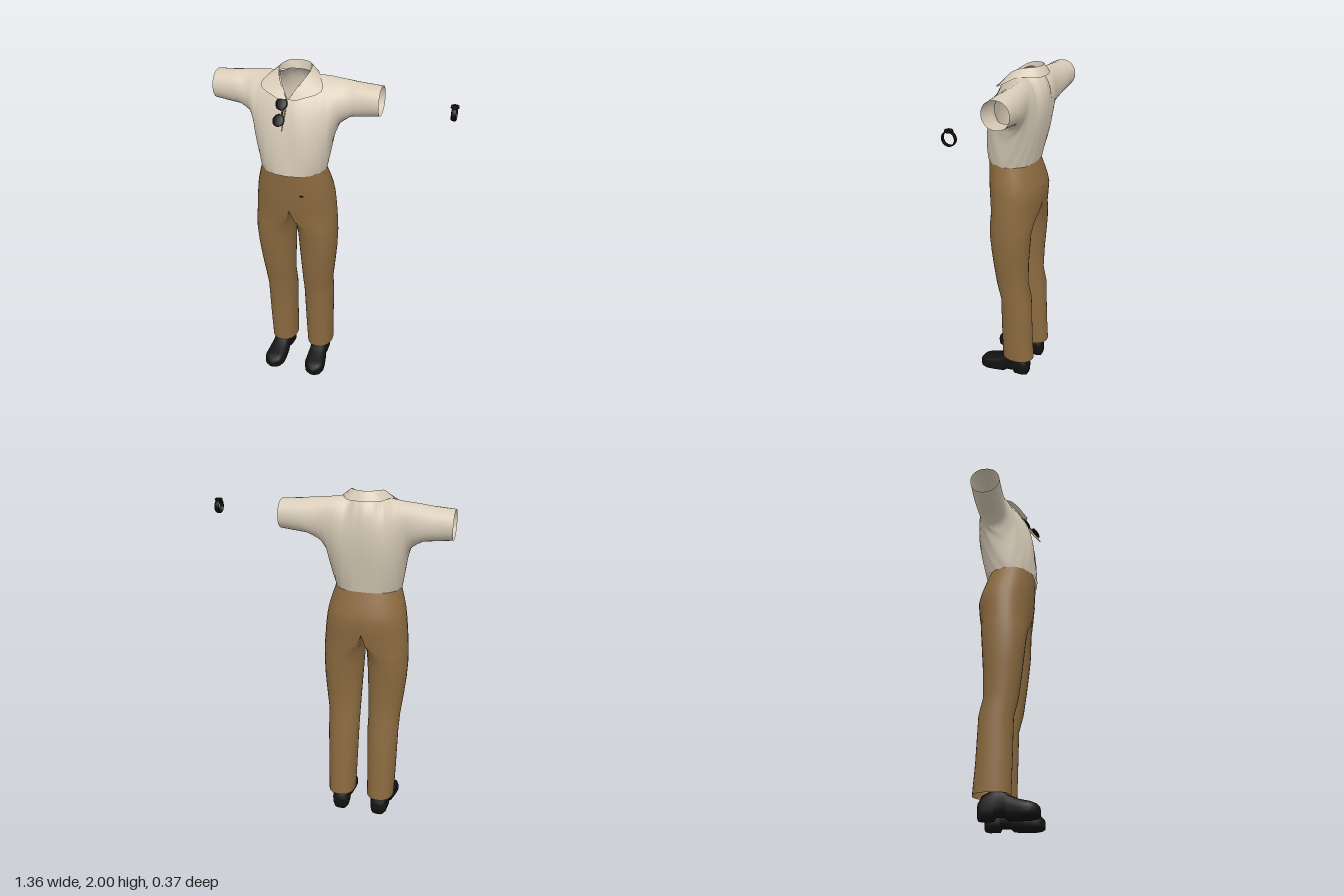
import * as THREE from 'three';
import { mergeVertices } from 'three/addons/utils/BufferGeometryUtils.js';

const mat = (name, color, side = THREE.FrontSide) => {
  const m = new THREE.MeshStandardMaterial({ color, side });
  m.name = name;
  return m;
};
const V = (x, y, z) => new THREE.Vector3(x, y, z);

// Adds a grid of points as triangles, leaving out faces on the middle plane
function addGrid(out, rows, flip, mirror) {
  const sx = mirror ? -1 : 1;
  const turn = flip !== mirror;
  for (let i = 0; i < rows.length - 1; i++) {
    for (let j = 0; j < rows[i].length - 1; j++) {
      const q = [rows[i][j], rows[i][j + 1], rows[i + 1][j + 1], rows[i + 1][j]];
      if (q.every((p) => Math.abs(p.x) < 1e-4)) continue;
      const order = turn ? [0, 2, 1, 0, 3, 2] : [0, 1, 2, 0, 2, 3];
      for (const k of order) out.push(q[k].x * sx, q[k].y, q[k].z);
    }
  }
}

// Smooth geometry from grids of the left half, mirrored to the right
function mirrored(grids) {
  const out = [];
  for (const [rows, flip] of grids) for (const m of [false, true]) addGrid(out, rows, flip, m);
  const g = new THREE.BufferGeometry();
  g.setAttribute('position', new THREE.Float32BufferAttribute(out, 3));
  const merged = mergeVertices(g, 1e-4);
  merged.computeVertexNormals();
  return merged;
}

// Shirt panel: every column is a Bezier from the neck or shoulder to the hem or underarm
function panel(cols) {
  const pts = [0, 1, 2, 3].map((k) => cols.map((c) => V(...c.slice(k * 3, k * 3 + 3))));
  const mids = [1, 2].map((k) => new THREE.CatmullRomCurve3(pts[k]));
  const rows = [];
  const n = cols.length - 1, sub = 4;
  for (let s = 0; s <= n * sub; s++) {
    const i = Math.min(Math.floor(s / sub), n - 1), f = s / sub - i;
    const edge = (k) => pts[k][i].clone().lerp(pts[k][i + 1], f);
    const u = s / (n * sub);
    const curve = new THREE.CubicBezierCurve3(edge(0), mids[0].getPoint(u), mids[1].getPoint(u), edge(3));
    rows.push(curve.getPoints(18));
  }
  return rows;
}

// Rounded ring coordinate; p below 1 makes it boxier
const pow = (v, p) => Math.sign(v) * Math.pow(Math.abs(v), p);
const ring = (n, p, fn) => Array.from({ length: n + 1 }, (_, j) => {
  const a = ((j % n) / n) * Math.PI * 2;
  const c = Math.cos(a), s = Math.sin(a);
  return fn(pow(Math.abs(c) < 1e-9 ? 0 : c, p), pow(Math.abs(s) < 1e-9 ? 0 : s, p));
});

export function createModel() {
  const cloth = mat('shirt cream', 0xd8ccb8, THREE.DoubleSide);
  const brown = mat('trouser brown', 0x8b6a40, THREE.DoubleSide);
  const black = mat('shoe black', 0x121212);
  const dark = mat('accessory black', 0x0a0a0a, THREE.DoubleSide);
  const gold = mat('gold', 0xb89a5a);

  const model = new THREE.Group();
  model.name = 'outfit';
  const clothes = new THREE.Group();
  clothes.name = 'clothes';
  clothes.position.x = -0.21;
  model.add(clothes);
  const add = (name, geo, material, parent = clothes) => {
    const m = new THREE.Mesh(geo, material);
    m.name = name;
    parent.add(m);
    return m;
  };

  // Shirt with open sleeves, centre to cuff
  const front = [
    [0, 1.86, 0.1, 0, 1.78, 0.15, 0, 1.58, 0.165, 0, 1.44, 0.172],
    [0.04, 1.92, 0.06, 0.05, 1.79, 0.17, 0.07, 1.58, 0.165, 0.07, 1.44, 0.163],
    [0.085, 1.965, -0.03, 0.1, 1.86, 0.16, 0.14, 1.58, 0.16, 0.13, 1.44, 0.13],
    [0.14, 1.955, -0.07, 0.15, 1.88, 0.15, 0.18, 1.58, 0.13, 0.17, 1.44, 0.085],
    [0.19, 1.95, -0.08, 0.2, 1.88, 0.12, 0.21, 1.6, 0.11, 0.19, 1.44, 0.02],
    [0.24, 1.945, -0.08, 0.235, 1.88, 0.09, 0.225, 1.68, 0.08, 0.215, 1.6, 0],
    [0.29, 1.94, -0.078, 0.285, 1.88, 0.055, 0.26, 1.73, 0.05, 0.24, 1.69, -0.04],
    [0.36, 1.93, -0.076, 0.36, 1.92, 0.042, 0.335, 1.73, 0.035, 0.3, 1.745, -0.07],
    [0.47, 1.92, -0.075, 0.47, 1.92, 0.037, 0.47, 1.76, 0.037, 0.47, 1.76, -0.075],
  ];
  const back = [
    [0, 1.95, -0.13, 0, 1.87, -0.225, 0, 1.6, -0.15, 0, 1.44, -0.118],
    [0.055, 1.955, -0.105, 0.05, 1.87, -0.225, 0.07, 1.6, -0.15, 0.07, 1.44, -0.115],
    [0.085, 1.965, -0.03, 0.1, 1.9, -0.24, 0.13, 1.6, -0.145, 0.13, 1.44, -0.09],
    [0.14, 1.955, -0.07, 0.15, 1.9, -0.22, 0.17, 1.6, -0.14, 0.17, 1.44, -0.045],
    [0.19, 1.95, -0.08, 0.2, 1.9, -0.21, 0.21, 1.62, -0.13, 0.19, 1.44, 0.02],
    [0.24, 1.945, -0.08, 0.24, 1.9, -0.2, 0.225, 1.68, -0.15, 0.215, 1.6, 0],
    [0.29, 1.94, -0.078, 0.29, 1.91, -0.19, 0.26, 1.71, -0.17, 0.24, 1.69, -0.04],
    [0.36, 1.93, -0.076, 0.36, 1.92, -0.185, 0.335, 1.73, -0.18, 0.3, 1.745, -0.07],
    [0.47, 1.92, -0.075, 0.47, 1.92, -0.182, 0.47, 1.76, -0.182, 0.47, 1.76, -0.075],
  ];
  add('shirt', mirrored([[panel(front), false], [panel(back), true]]), cloth);

  // Collar: neck base, fold and flap edge, from the nape to the V
  const edges = [
    [V(0, 1.95, -0.13), V(0.055, 1.955, -0.105), V(0.085, 1.965, -0.03), V(0.055, 1.925, 0.045), V(0, 1.855, 0.1)],
    [V(0, 2, -0.14), V(0.06, 2, -0.115), V(0.088, 1.99, -0.04), V(0.065, 1.95, 0.035), V(0.004, 1.866, 0.108)],
    [V(0, 1.95, -0.168), V(0.085, 1.95, -0.145), V(0.135, 1.953, -0.05), V(0.17, 1.905, 0.045), V(0.05, 1.87, 0.122)],
  ].map((p) => new THREE.CatmullRomCurve3(p).getPoints(16));
  const strip = (a, b) => edges[a].map((p, i) => [p, edges[b][i]]);
  add('collarStand', mirrored([[strip(0, 1), true]]), cloth);
  add('collarFlap', mirrored([[strip(1, 2), true]]), cloth);

  // Trousers: height, outer x, inner x, middle x, front z, back z
  const legs = [
    [1.445, 0.184, 0, 0, 0.16, -0.113],
    [1.38, 0.204, 0, 0, 0.157, -0.135],
    [1.32, 0.22, 0, 0, 0.153, -0.155],
    [1.27, 0.228, 0, 0, 0.15, -0.166],
    [1.2, 0.236, 0, 0, 0.143, -0.16],
    [1.13, 0.241, 0, 0.03, 0.13, -0.148],
    [1.08, 0.244, 0.008, 0.09, 0.122, -0.14],
    [1, 0.245, 0.012, 0.128, 0.115, -0.13],
    [0.9, 0.24, 0.017, 0.128, 0.104, -0.124],
    [0.8, 0.23, 0.022, 0.126, 0.092, -0.118],
    [0.66, 0.213, 0.028, 0.12, 0.073, -0.117],
    [0.56, 0.21, 0.028, 0.12, 0.047, -0.14],
    [0.3, 0.205, 0.035, 0.12, 0.04, -0.152],
    [0.13, 0.2, 0.04, 0.12, 0.034, -0.165],
  ];
  const legRows = legs.map(([y, xo, xi, xm, zf, zb]) => ring(32, 0.9, (c, s) =>
    V(xm + c * (c > 0 ? xo - xm : xm - xi), y, (zf + zb) / 2 + (s * (zf - zb)) / 2)));
  add('trousers', mirrored([[legRows, false]]), brown);

  // Small button on the trouser front
  const button = add('trouserButton', new THREE.BoxGeometry(0.022, 0.007, 0.006), dark);
  button.position.set(0.08, 1.31, 0.145);
  button.rotation.y = 0.2;

  // Shoes, heel to toe: z, half width, bottom, top
  const shoe = [
    [-0.135, 0, 0.04, 0.06], [-0.132, 0.04, 0.004, 0.09], [-0.11, 0.052, 0, 0.13],
    [-0.055, 0.052, 0, 0.155], [-0.045, 0.05, 0.02, 0.155], [0, 0.052, 0.018, 0.15],
    [0.02, 0.055, 0.002, 0.13], [0.08, 0.062, 0, 0.102], [0.13, 0.064, 0, 0.09],
    [0.165, 0.05, 0.004, 0.077], [0.182, 0.024, 0.012, 0.06], [0.185, 0, 0.03, 0.04],
  ];
  const shoeRows = shoe.map(([z, w, b, t]) => ring(20, 0.65, (c, s) =>
    V(0.126 + z * 0.06 + c * w, (b + t) / 2 + (s * (t - b)) / 2, z)));
  add('shoes', mirrored([[shoeRows, false]]), black);

  // Folded sunglasses hanging from the neckline
  const glasses = new THREE.Group();
  glasses.name = 'sunglasses';
  glasses.position.set(-0.03, 1.805, 0.142);
  glasses.rotation.x = -0.66;
  clothes.add(glasses);
  for (const s of [-1, 1]) {
    const lens = add('lens', new THREE.SphereGeometry(0.033, 20, 10), dark, glasses);
    lens.scale.set(0.9, 1.05, 0.2);
    lens.position.y = s * 0.045;
    const rim = add('rim', new THREE.TorusGeometry(0.031, 0.003, 6, 24), dark, glasses);
    rim.position.y = s * 0.045;
    const temple = add('temple', new THREE.BoxGeometry(0.005, 0.15, 0.004), gold, glasses);
    temple.position.set(0.024, s * 0.012 - 0.01, -0.008 + s * 0.003);
  }
  add('bridge', new THREE.BoxGeometry(0.008, 0.03, 0.006), dark, glasses).position.x = 0.012;

  // Wristwatch floating beside the left sleeve
  const watch = new THREE.Group();
  watch.name = 'wristwatch';
  watch.position.set(0.653, 1.838, -0.025);
  model.add(watch);
  const band = add('watchBand', new THREE.TorusGeometry(0.035, 0.004, 8, 28), dark, watch);
  band.rotation.y = Math.PI / 2;
  band.scale.z = 3.4;
  const dial = add('watchCase', new THREE.CylinderGeometry(0.022, 0.022, 0.01, 20), dark, watch);
  dial.position.y = 0.038;
  const bezel = add('watchBezel', new THREE.TorusGeometry(0.019, 0.0015, 6, 24), gold, watch);
  bezel.rotation.x = Math.PI / 2;
  bezel.position.y = 0.043;

  return model;
}
